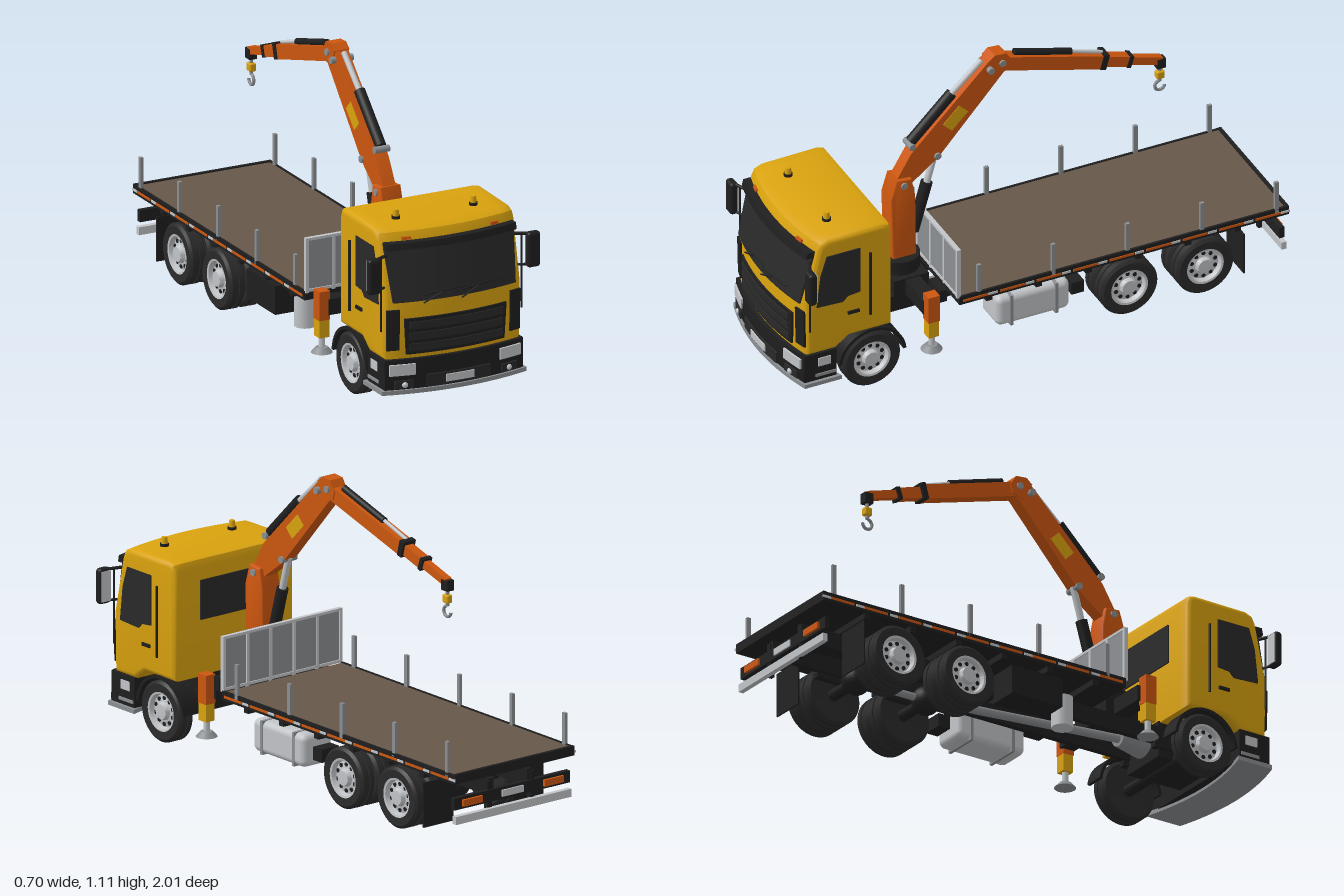
import * as THREE from 'three';
import { toCreasedNormals } from 'three/addons/utils/BufferGeometryUtils.js';
import { RoundedBoxGeometry } from 'three/addons/geometries/RoundedBoxGeometry.js';

const mat = (name, color) => new THREE.MeshStandardMaterial({ name, color });
const yellow = mat('cabYellow', 0xd9a20e), orange = mat('craneOrange', 0xcc560f);
const black = mat('black', 0x1f1f20), rubber = mat('rubber', 0x2a2a2b), glass = mat('darkGlass', 0x29292a);
const brown = mat('deckBrown', 0x665749), steel = mat('steel', 0x8c8f92), light = mat('lightGrey', 0xc2c5c8);

const V = (x, y, z) => new THREE.Vector3(x, y, z);
const SIDES = [-1, 1];

// Cab front: height profile and sideways bow
const front = (y) => y < 0.21 ? 0.99 : y < 0.43 ? 0.975 + (y - 0.21) * 0.023 : 0.98 - (y - 0.43) * 0.217;
const bow = (x) => 0.04 * (x / 0.28) ** 2;

function add(parent, name, geo, material, x = 0, y = 0, z = 0) {
  const m = new THREE.Mesh(geo, material);
  m.name = name;
  m.position.set(x, y, z);
  parent.add(m);
  return m;
}
const box = (p, name, m, w, h, d, x, y, z) => add(p, name, new THREE.BoxGeometry(w, h, d), m, x, y, z);

// Cylinder between two points
function rod(p, name, m, a, b, r, r2 = r, sides = 20) {
  const dir = b.clone().sub(a);
  const c = a.clone().add(b).multiplyScalar(0.5);
  const mesh = add(p, name, new THREE.CylinderGeometry(r2, r, dir.length(), sides), m, c.x, c.y, c.z);
  mesh.quaternion.setFromUnitVectors(V(0, 1, 0), dir.normalize());
  return mesh;
}

// Box between two [z, y] points
function beam(p, name, m, a, b, w, h, x = 0) {
  const dz = b[0] - a[0], dy = b[1] - a[1];
  const mesh = box(p, name, m, w, h, Math.hypot(dz, dy), x, (a[1] + b[1]) / 2, (a[0] + b[0]) / 2);
  mesh.rotation.x = Math.atan2(-dy, dz);
  return mesh;
}

// Extrusion of a [z, y] side profile across x, optionally bowed at the front
function sideExtrude(p, name, m, pts, w, { x = 0, bevel = 0, bowed = false } = {}) {
  const shape = new THREE.Shape(pts.map(([z, y]) => new THREE.Vector2(z, y)));
  const depth = w - 2 * bevel;
  const geo = new THREE.ExtrudeGeometry(shape, {
    depth, steps: bowed ? 14 : 1, bevelEnabled: bevel > 0,
    bevelSize: bevel, bevelThickness: bevel, bevelOffset: -bevel, bevelSegments: 4,
  });
  geo.translate(0, 0, -depth / 2).rotateY(-Math.PI / 2);
  if (bowed) {
    const pos = geo.attributes.position;
    for (let i = 0; i < pos.count; i++) {
      if (pos.getZ(i) > 0.84) pos.setZ(i, pos.getZ(i) - bow(pos.getX(i)));
    }
  }
  return add(p, name, toCreasedNormals(geo, 0.6), m, x);
}

// Thin panel wrapped onto the cab front
function frontPanel(p, name, m, w, h, x, y, { depth = 0.008, lift = 0.004, top = 1 } = {}) {
  const geo = new THREE.BoxGeometry(w, h, depth, 14, 2, 1);
  const pos = geo.attributes.position;
  for (let i = 0; i < pos.count; i++) {
    const px = x + pos.getX(i) * (1 + (top - 1) * (pos.getY(i) / h + 0.5)), py = y + pos.getY(i);
    pos.setXYZ(i, px, py, pos.getZ(i) + front(py) - bow(px) + lift);
  }
  geo.computeVertexNormals();
  return add(p, name, geo, m);
}

function wheel(p, x, z, side) {
  const g = new THREE.Group();
  g.name = 'wheel';
  const lathe = (pts) => toCreasedNormals(new THREE.LatheGeometry(pts.map(([r, y]) => new THREE.Vector2(r, y)), 40), 0.6);
  add(g, 'tyre', lathe([[0, -0.02], [0.07, -0.03], [0.104, -0.033], [0.115, -0.024], [0.115, -0.005], [0.111, -0.004],
    [0.111, 0.004], [0.115, 0.005], [0.115, 0.024], [0.104, 0.033], [0.072, 0.03]]), rubber);
  add(g, 'rim', lathe([[0.074, 0.031], [0.066, 0.029], [0.061, 0.01], [0.034, 0.016], [0.028, 0.032], [0, 0.033]]), light);
  for (let i = 0; i < 10; i++) {
    const a = i * Math.PI / 5;
    add(g, 'rimHole', new THREE.CylinderGeometry(0.008, 0.008, 0.01, 10), black, 0.049 * Math.cos(a), 0.011, 0.049 * Math.sin(a));
  }
  g.rotation.z = -side * Math.PI / 2;
  g.position.set(x, 0.115, z);
  p.add(g);
}

function buildCab(p) {
  sideExtrude(p, 'cabShell', yellow, [[0.595, 0.245], [0.765, 0.245], [0.82, 0.205], [0.975, 0.205], [0.98, 0.43], [0.932, 0.65],
    [0.92, 0.675], [0.89, 0.688], [0.63, 0.692], [0.605, 0.685], [0.595, 0.66]], 0.56, { bevel: 0.018, bowed: true });
  frontPanel(p, 'windscreen', glass, 0.5, 0.2, 0, 0.525, { top: 1.06 });
  frontPanel(p, 'sunVisor', black, 0.53, 0.025, 0, 0.632, { depth: 0.03, lift: 0.016 });
  frontPanel(p, 'grille', black, 0.4, 0.137, 0, 0.292, { top: 1.04 });
  for (let i = 0; i < 3; i++) frontPanel(p, 'grilleSlat', glass, 0.38, 0.028, 0, 0.25 + i * 0.042, { lift: 0.009 });
  sideExtrude(p, 'bumper', black, [[0.82, 0.09], [0.985, 0.085], [0.992, 0.1], [0.99, 0.208], [0.82, 0.208]], 0.565, { bowed: true });
  sideExtrude(p, 'bumperLip', steel, [[0.85, 0.078], [0.998, 0.078], [0.998, 0.094], [0.85, 0.094]], 0.59, { bowed: true });
  frontPanel(p, 'lowerIntake', glass, 0.26, 0.045, 0, 0.122);
  frontPanel(p, 'numberPlate', light, 0.115, 0.028, 0, 0.123, { lift: 0.009 });
  box(p, 'rearWindow', glass, 0.32, 0.15, 0.008, 0, 0.535, 0.593);
  box(p, 'engine', black, 0.2, 0.14, 0.3, 0, 0.18, 0.74);
  rod(p, 'gearbox', steel, V(0, 0.21, 0.62), V(0, 0.2, 0.48), 0.075, 0.04);

  for (const s of SIDES) {
    frontPanel(p, 'cornerPanel', black, 0.046, 0.155, s * 0.249, 0.32);
    frontPanel(p, 'headlight', light, 0.095, 0.042, s * 0.22, 0.17);
    frontPanel(p, 'fogLightHousing', glass, 0.07, 0.03, s * 0.215, 0.115);
    add(p, 'fogLight', new THREE.SphereGeometry(0.012, 12, 8), light, s * 0.212, 0.113, 0.972);
    frontPanel(p, 'markerLight', orange, 0.032, 0.01, s * 0.18, 0.654, { lift: 0.006 });
    sideExtrude(p, 'sideWindow', glass, [[0.9, 0.41], [0.795, 0.405], [0.775, 0.425], [0.725, 0.43], [0.725, 0.62], [0.86, 0.62], [0.885, 0.54]], 0.008, { x: s * 0.28 });
    box(p, 'doorHandle', black, 0.01, 0.012, 0.045, s * 0.282, 0.35, 0.752);
    rod(p, 'grabHandle', black, V(s * 0.287, 0.32, 0.686), V(s * 0.287, 0.59, 0.686), 0.005);
    box(p, 'sideLamp', light, 0.006, 0.035, 0.05, s * 0.283, 0.17, 0.87);
    box(p, 'cabStep', steel, 0.02, 0.012, 0.08, s * 0.276, 0.115, 0.865);

    // Arched mudguard over the steered wheel
    const arch = new THREE.Shape();
    arch.absarc(0, 0, 0.136, 0.1, Math.PI - 0.1, false);
    arch.absarc(0, 0, 0.124, Math.PI - 0.1, 0.1, true);
    const archGeo = new THREE.ExtrudeGeometry(arch, { depth: 0.08, bevelEnabled: false, curveSegments: 20 });
    archGeo.translate(0, 0, -0.04).rotateY(-Math.PI / 2);
    add(p, 'frontMudguard', archGeo, black, s * 0.243, 0.115, 0.675);

    // Mirrors and beacons
    add(p, 'mirror', new RoundedBoxGeometry(0.052, 0.135, 0.032, 3, 0.012), black, s * 0.325, 0.538, 0.945);
    box(p, 'mirrorGlass', light, 0.042, 0.115, 0.004, s * 0.325, 0.538, 0.928);
    rod(p, 'mirrorArm', black, V(s * 0.26, 0.6, 0.92), V(s * 0.325, 0.597, 0.945), 0.006);
    rod(p, 'mirrorArm', black, V(s * 0.26, 0.48, 0.92), V(s * 0.325, 0.48, 0.945), 0.005);
    rod(p, 'mirrorStay', black, V(s * 0.287, 0.315, 0.93), V(s * 0.287, 0.6, 0.93), 0.004);
    rod(p, 'beaconBase', black, V(s * 0.158, 0.685, 0.8), V(s * 0.158, 0.7, 0.8), 0.016);
    rod(p, 'beacon', yellow, V(s * 0.158, 0.7, 0.8), V(s * 0.158, 0.724, 0.8), 0.013, 0.01);

    // Wipers
    const wx = s * 0.075;
    const on = (x, y) => V(x, y, front(y) - bow(x) + 0.013);
    rod(p, 'wiperArm', black, on(wx - 0.065, 0.418), on(wx + 0.01, 0.45), 0.003, 0.003, 6);
    rod(p, 'wiperBlade', black, on(wx - 0.06, 0.447), on(wx + 0.1, 0.459), 0.003, 0.003, 6);
  }
}

function buildChassis(p) {
  for (const s of SIDES) {
    box(p, 'chassisRail', black, 0.022, 0.065, 1.87, s * 0.09, 0.195, -0.04);
    wheel(p, s * 0.247, 0.675, s);
    for (const z of [-0.36, -0.665]) {
      wheel(p, s * 0.247, z, s);
      wheel(p, s * 0.172, z, s);
    }
    box(p, 'mudflap', black, 0.14, 0.17, 0.006, s * 0.21, 0.125, -0.82);
    box(p, 'tailLight', orange, 0.09, 0.025, 0.012, s * 0.19, 0.165, -0.99);
    box(p, 'bumperBracket', black, 0.02, 0.13, 0.02, s * 0.1, 0.155, -0.97);
  }
  for (let z = 0.2; z > -1; z -= 0.2) box(p, 'crossMember', black, 0.54, 0.025, 0.025, 0, 0.236, z);
  box(p, 'lightBar', black, 0.54, 0.045, 0.02, 0, 0.165, -0.976);
  box(p, 'rearPlate', light, 0.1, 0.025, 0.008, 0, 0.165, -0.988);
  box(p, 'underrunBar', light, 0.54, 0.03, 0.02, 0, 0.105, -0.985);
  for (const z of [0.675, -0.36, -0.665]) {
    rod(p, 'axle', black, V(-0.22, 0.115, z), V(0.22, 0.115, z), 0.022);
    for (const s of SIDES) box(p, 'leafSpring', black, 0.025, 0.02, 0.22, s * 0.1, 0.15, z);
    if (z < 0) add(p, 'differential', new THREE.SphereGeometry(0.055, 20, 14), black, 0, 0.118, z);
  }
  rod(p, 'driveShaft', steel, V(0, 0.19, 0.5), V(0, 0.125, -0.32), 0.016);
  rod(p, 'driveShaft', steel, V(0, 0.12, -0.4), V(0, 0.12, -0.62), 0.014);

  // Fuel tank, storage box and silencer
  add(p, 'fuelTank', new RoundedBoxGeometry(0.14, 0.125, 0.295, 4, 0.025), light, 0.2, 0.153, 0.02);
  for (const z of [-0.07, 0.11]) box(p, 'tankStrap', steel, 0.145, 0.128, 0.012, 0.2, 0.153, z);
  box(p, 'airUnit', black, 0.08, 0.05, 0.05, 0.2, 0.15, -0.17);
  box(p, 'storageBox', black, 0.12, 0.11, 0.22, -0.2, 0.16, -0.05);
  rod(p, 'silencer', light, V(-0.17, 0.07, 0.12), V(-0.17, 0.19, 0.12), 0.04);
}

function buildDeck(p) {
  box(p, 'deckFrame', black, 0.56, 0.028, 1.325, 0, 0.26, -0.3375);
  box(p, 'deckFloor', brown, 0.542, 0.006, 1.3, 0, 0.275, -0.335);
  box(p, 'rearRim', black, 0.56, 0.012, 0.014, 0, 0.276, -0.993);
  for (const s of SIDES) {
    box(p, 'sideRim', black, 0.009, 0.008, 1.325, s * 0.2755, 0.277, -0.3375);
    for (let i = 0; i < 9; i++) {
      box(p, 'orangeStrip', orange, 0.004, 0.009, 0.1, s * 0.281, 0.261, 0.26 - i * 0.147);
      box(p, 'whiteStrip', light, 0.004, 0.009, 0.035, s * 0.281, 0.261, 0.19 - i * 0.147);
    }
    for (let i = 0; i < 5; i++) box(p, 'stake', steel, 0.012, 0.135, 0.016, s * 0.274, 0.33, 0.245 - i * 0.299);
  }
  box(p, 'headboard', steel, 0.55, 0.205, 0.008, 0, 0.38, 0.326);
  for (let i = 0; i < 6; i++) box(p, 'headboardPost', light, 0.012, 0.21, 0.016, -0.272 + i * 0.1088, 0.38, 0.326);
  for (const y of [0.285, 0.48]) box(p, 'headboardRail', light, 0.556, 0.01, 0.016, 0, y, 0.326);
}

function buildCrane(p) {
  // Base and outriggers
  box(p, 'craneBase', black, 0.2, 0.08, 0.14, 0, 0.25, 0.43);
  rod(p, 'slewRing', black, V(0, 0.28, 0.435), V(0, 0.345, 0.435), 0.08);
  box(p, 'outriggerBeam', black, 0.5, 0.06, 0.06, 0, 0.255, 0.425);
  box(p, 'controlBox', black, 0.09, 0.05, 0.03, 0.215, 0.29, 0.38);
  for (const s of SIDES) {
    box(p, 'outriggerLeg', orange, 0.044, 0.11, 0.046, s * 0.265, 0.262, 0.43);
    box(p, 'outriggerLegLower', yellow, 0.04, 0.07, 0.042, s * 0.265, 0.175, 0.43);
    rod(p, 'outriggerRam', light, V(s * 0.265, 0.09, 0.43), V(s * 0.265, 0.15, 0.43), 0.012);
    rod(p, 'outriggerFoot', steel, V(s * 0.265, 0.08, 0.43), V(s * 0.265, 0.1, 0.43), 0.04, 0.022);
  }

  // Column, main boom and elbow
  sideExtrude(p, 'column', orange, [[0.475, 0.32], [0.484, 0.6], [0.46, 0.68], [0.4, 0.675], [0.385, 0.6], [0.382, 0.32]], 0.085, { bevel: 0.006 });
  sideExtrude(p, 'mainBoom', orange, [[0.45, 0.68], [0.395, 0.773], [0.078, 1.088], [0.015, 1.03], [0.287, 0.725], [0.4, 0.64]], 0.052);
  sideExtrude(p, 'elbow', orange, [[0.085, 1.085], [0.06, 1.106], [0.015, 1.102], [-0.01, 1.065], [0.0, 1.03], [0.05, 1.02]], 0.06);
  beam(p, 'boomPlate', yellow, [0.25, 0.845], [0.185, 0.91], 0.056, 0.05);
  for (const [z, y, w] of [[0.432, 0.655, 0.1], [0.29, 0.735, 0.07], [0.39, 0.8, 0.06], [0.08, 1.05, 0.09], [0.03, 1.065, 0.075]]) {
    rod(p, 'pivotPin', steel, V(-w / 2, y, z), V(w / 2, y, z), 0.013);
  }

  // Hydraulic cylinders
  rod(p, 'liftCylinder', black, V(0, 0.42, 0.375), V(0, 0.615, 0.32), 0.022);
  rod(p, 'liftRod', light, V(0, 0.6, 0.324), V(0, 0.74, 0.285), 0.013);
  rod(p, 'elbowCylinder', black, V(0, 0.81, 0.385), V(0, 0.972, 0.22), 0.021);
  rod(p, 'elbowRod', light, V(0, 0.965, 0.227), V(0, 1.08, 0.1), 0.011);
  rod(p, 'extensionCylinder', black, V(0, 1.078, -0.03), V(0, 1.01, -0.26), 0.013);
  rod(p, 'extensionRod', light, V(0, 1.012, -0.255), V(0, 0.97, -0.385), 0.007);

  // Telescopic jib
  beam(p, 'jibOuter', orange, [0.04, 1.06], [-0.38, 0.938], 0.05, 0.055);
  beam(p, 'jibMiddle', orange, [-0.37, 0.941], [-0.49, 0.905], 0.038, 0.042);
  beam(p, 'jibInner', orange, [-0.48, 0.908], [-0.62, 0.866], 0.028, 0.03);
  beam(p, 'jibCollar', black, [-0.373, 0.943], [-0.395, 0.937], 0.058, 0.062);
  beam(p, 'jibCollar', black, [-0.482, 0.908], [-0.497, 0.903], 0.046, 0.048);
  box(p, 'jibTip', black, 0.03, 0.04, 0.035, 0, 0.855, -0.618);

  // Hook
  rod(p, 'hookLink', steel, V(0, 0.775, -0.617), V(0, 0.845, -0.617), 0.007);
  add(p, 'hookBlock', new RoundedBoxGeometry(0.026, 0.032, 0.032, 2, 0.006), yellow, 0, 0.803, -0.617);
  const hook = add(p, 'hook', new THREE.TorusGeometry(0.02, 0.006, 8, 24, Math.PI * 1.5), steel, 0, 0.755, -0.617);
  hook.rotation.set(0, Math.PI / 2, 0);
  hook.geometry.rotateZ(Math.PI / 2);
}

export function createModel() {
  const truck = new THREE.Group();
  truck.name = 'craneTruck';
  for (const [name, build] of [['cab', buildCab], ['chassis', buildChassis], ['deck', buildDeck], ['crane', buildCrane]]) {
    const g = new THREE.Group();
    g.name = name;
    build(g);
    truck.add(g);
  }
  return truck;
}
